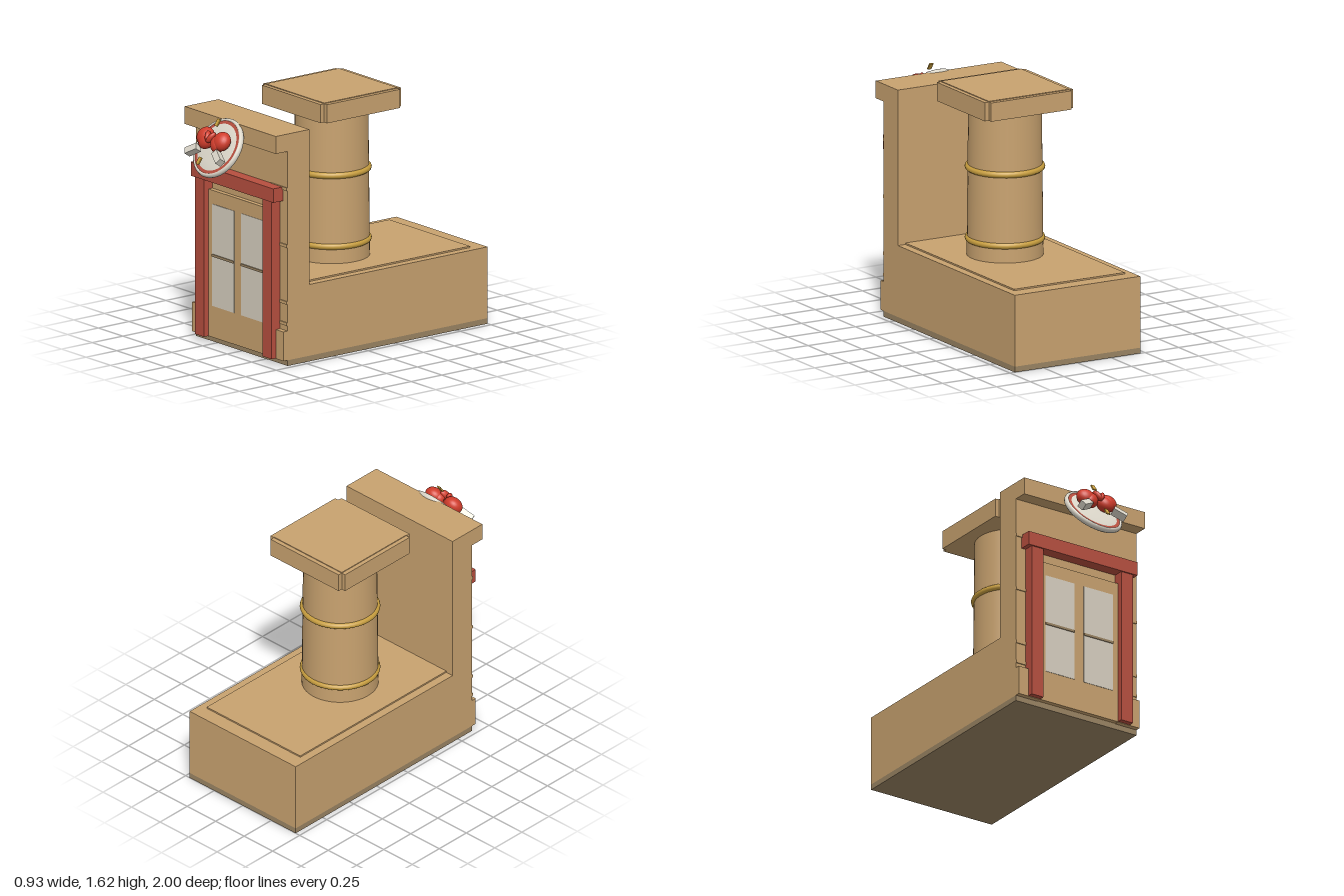
import * as THREE from 'three';

const mat = (name, color) => {
  const m = new THREE.MeshStandardMaterial({ color });
  m.name = name;
  return m;
};

export function createModel() {
  const tan = mat('tan wall', 0xc8a26f);
  const taupe = mat('taupe base', 0x9a8463);
  const red = mat('frame red', 0xb74f3f);
  const gloveRed = mat('glove red', 0xd03c2b);
  const glass = mat('pale glass', 0xd8d0c1);
  const gold = mat('gold', 0xc99f3f);
  const white = mat('off white', 0xdcd7ca);

  const root = new THREE.Group();
  root.name = 'shop';
  const add = (parent, name, geo, m) => {
    const mesh = new THREE.Mesh(geo, m);
    mesh.name = name;
    parent.add(mesh);
    return mesh;
  };
  // Box given by its minimum and maximum on each axis
  const box = (name, m, x0, x1, y0, y1, z0, z1) => {
    const b = add(root, name, new THREE.BoxGeometry(x1 - x0, y1 - y0, z1 - z0), m);
    b.position.set((x0 + x1) / 2, (y0 + y1) / 2, (z0 + z1) / 2);
    return b;
  };

  // Base, low hall and roof panel
  const W = 0.465;
  box('base', taupe, -W, W, 0, 0.037, -1, 0.63);
  box('hall', tan, -W, W, 0.037, 0.507, -1, 0.45);
  box('roofPanel', tan, -0.41, 0.41, 0.507, 0.517, -0.9, 0.45);

  // Tall front wall, cornice and plinth
  box('frontWall', tan, -W, W, 0.037, 1.415, 0.45, 0.63);
  box('cornice', tan, -W, W, 1.415, 1.53, 0.45, 0.725);
  for (const s of [-1, 1]) {
    const a = s < 0 ? -W : 0.3, b = s < 0 ? -0.3 : W;
    box('plinth', tan, a, b, 0.037, 0.23, 0.63, 0.664);
    for (const y of [0.265, 0.405, 0.78, 1.155])
      box('wallStrip', tan, a, b, y, y + 0.02, 0.63, 0.637);
  }

  // Door with two tall windows
  box('door', tan, -0.3, 0.3, 0.04, 1.01, 0.63, 0.662);
  for (const s of [-1, 1]) {
    const a = s < 0 ? -0.26 : 0.035;
    box('windowPane', glass, a, a + 0.225, 0.248, 0.92, 0.66, 0.665);
    box('windowBar', taupe, a, a + 0.225, 0.575, 0.591, 0.66, 0.671);
    // Door posts
    const p = s < 0 ? -0.39 : 0.3;
    box('doorPost', red, p, p + 0.09, 0.04, 1.08, 0.63, 0.7);
  }
  box('lintel', red, -0.42, 0.42, 1.08, 1.172, 0.63, 0.71);

  // Round chimney with gold bands and a notched square cap
  const cz = -0.1;
  const stack = add(root, 'chimney', new THREE.CylinderGeometry(0.235, 0.245, 0.99, 40), tan);
  stack.position.set(0, 1.01, cz);
  for (const y of [0.627, 1.095]) {
    const band = add(root, 'chimneyBand', new THREE.TorusGeometry(0.236, 0.021, 10, 40), gold);
    band.rotation.x = Math.PI / 2;
    band.position.set(0, y, cz);
  }
  const o = 0.327, i = 0.298;
  box('capCore', tan, -i, i, 1.497, 1.625, cz - i, cz + i);
  for (const s of [-1, 1]) {
    const lo = s < 0 ? -o : i, hi = s < 0 ? -i : o;
    box('capSide', tan, lo, hi, 1.497, 1.62, cz - i, cz + i);
    box('capEnd', tan, -i, i, 1.497, 1.62, cz + lo, cz + hi);
  }

  // Tilted round sign; its own +z is the sign's face
  const sign = new THREE.Group();
  sign.name = 'sign';
  sign.position.set(0, 1.37, 0.82);
  sign.rotation.x = -0.59;
  root.add(sign);
  const lathe = (name, pts, m) => {
    const g = new THREE.LatheGeometry(pts.map(p => new THREE.Vector2(...p)), 48);
    g.rotateX(Math.PI / 2);
    return add(sign, name, g, m);
  };
  lathe('signRim', [[0, -0.022], [0.17, -0.022], [0.19, -0.02], [0.202, -0.011], [0.206, 0],
    [0.203, 0.012], [0.196, 0.02], [0.188, 0.021], [0.183, 0.014]], white);
  lathe('signRing', [[0.192, 0.016], [0.16, 0.016]], red);
  lathe('signFace', [[0.165, 0.013], [0.162, 0.018], [0.11, 0.023], [0.05, 0.026], [0, 0.027]], white);

  // Ellipsoid placed on the sign
  const blob = (name, x, y, z, sx, sy, sz, rz) => {
    const b = add(sign, name, new THREE.SphereGeometry(1, 24, 16), gloveRed);
    b.position.set(x, y, z);
    b.scale.set(sx, sy, sz);
    b.rotation.z = rz;
  };
  for (const s of [-1, 1]) {
    // Padded glove, thumb and cuff
    blob('gloveFist', s * 0.082, 0.034, 0.07, 0.064, 0.064, 0.05, 0);
    blob('gloveKnuckles', s * 0.055, 0.012, 0.07, 0.05, 0.062, 0.046, s * 0.5);
    blob('gloveThumb', s * 0.016, 0.03, 0.108, 0.018, 0.042, 0.024, -s * 0.45);
    const cuff = add(sign, 'gloveCuff', new THREE.BoxGeometry(0.095, 0.044, 0.05), white);
    cuff.position.set(s * 0.13, -0.075, 0.078);
    cuff.rotation.z = -s * 0.58;
  }
  // Gold marks above and below the gloves
  for (const y of [0.137, -0.135]) {
    const mark = add(sign, 'goldMark', new THREE.BoxGeometry(0.028, 0.05, 0.009), gold);
    mark.position.set(0, y, 0.1);
  }
  return root;
}
